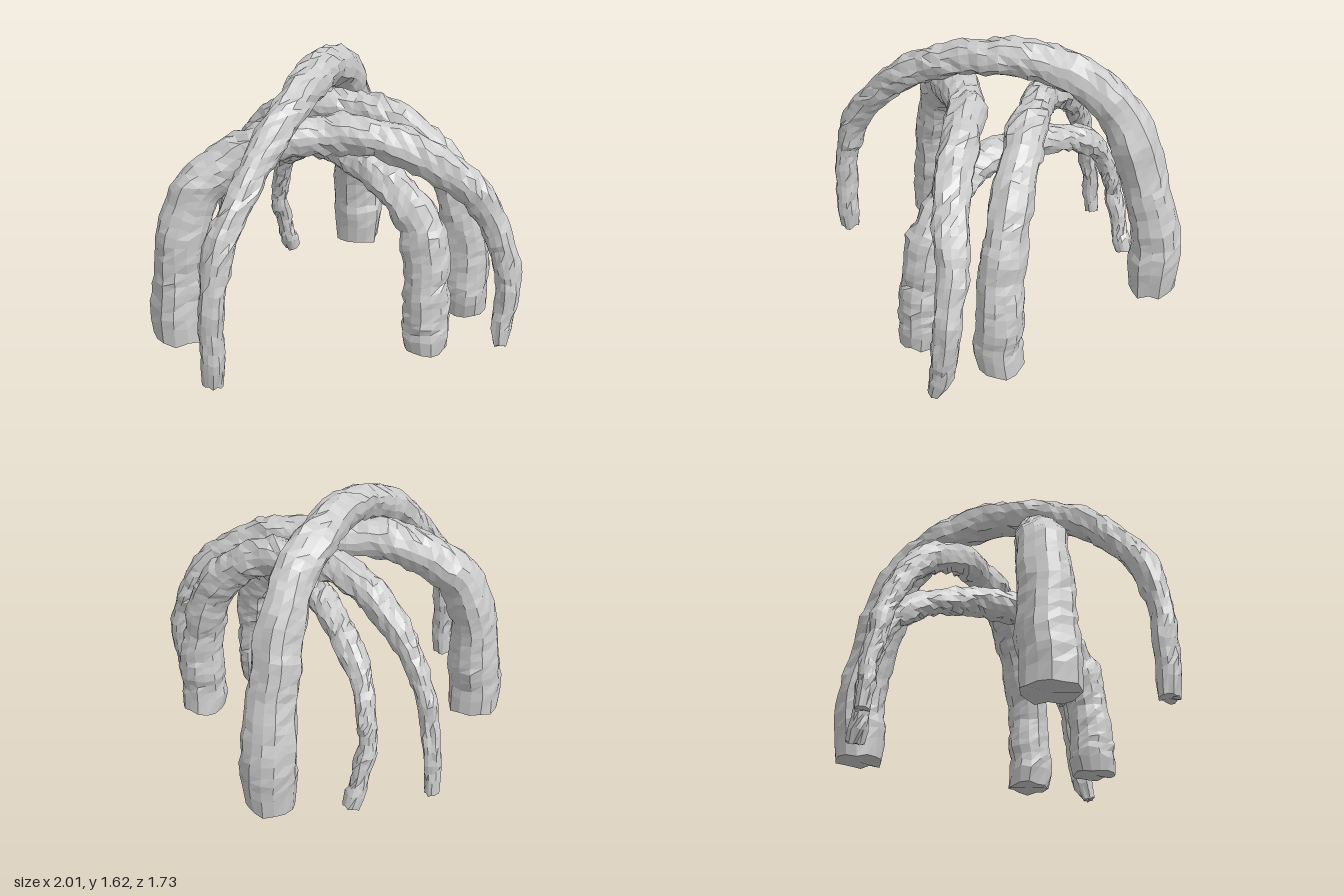
import * as THREE from 'three';

const SIDES = 14;
const SEGMENTS = 72;

// Repeatable value in -1..1 for a grid cell
function hash(a, b, seed) {
  const s = Math.sin(a * 127.1 + b * 311.7 + seed * 74.7) * 43758.5453;
  return (s - Math.floor(s)) * 2 - 1;
}

// The same, blended smoothly along a
function noise(a, b, seed) {
  const cell = Math.floor(a);
  return THREE.MathUtils.lerp(hash(cell, b, seed), hash(cell + 1, b, seed), THREE.MathUtils.smoothstep(a - cell, 0, 1));
}

// Each arch: points [x, y, z, radius] from the thick foot to the thin tip
const arches = {
  tallRoot: [
    [0.62, 0.09, -0.71, 0.155], [0.61, 0.45, -0.71, 0.15], [0.57, 0.8, -0.65, 0.14],
    [0.48, 1.17, -0.55, 0.13], [0.38, 1.36, -0.43, 0.125], [0.24, 1.47, -0.27, 0.12],
    [0.08, 1.52, -0.05, 0.11], [-0.15, 1.46, 0.21, 0.1], [-0.38, 1.34, 0.42, 0.095],
    [-0.57, 1.13, 0.55, 0.085], [-0.74, 0.86, 0.65, 0.08], [-0.81, 0.55, 0.7, 0.07],
    [-0.82, 0.3, 0.71, 0.07], [-0.82, 0.08, 0.7, 0.06],
  ],
  wideRoot: [
    [-0.83, 0.06, 0.06, 0.165], [-0.83, 0.4, 0.06, 0.16], [-0.8, 0.74, 0.07, 0.15],
    [-0.7, 0.97, 0.09, 0.14], [-0.52, 1.12, 0.12, 0.13], [-0.28, 1.22, 0.16, 0.12],
    [0.0, 1.24, 0.22, 0.11], [0.25, 1.23, 0.35, 0.105], [0.47, 1.16, 0.49, 0.105],
    [0.69, 1.0, 0.61, 0.1], [0.82, 0.82, 0.67, 0.085], [0.91, 0.58, 0.73, 0.075],
    [0.93, 0.34, 0.76, 0.07], [0.89, 0.15, 0.78, 0.065], [0.87, 0.02, 0.81, 0.045],
  ],
  innerRoot: [
    [0.44, 0.06, 0.71, 0.135], [0.44, 0.4, 0.7, 0.13], [0.44, 0.7, 0.64, 0.13],
    [0.37, 0.91, 0.5, 0.115], [0.28, 1.01, 0.3, 0.105], [0.22, 1.03, 0.04, 0.09],
    [0.15, 1.0, -0.24, 0.085], [0.11, 0.92, -0.46, 0.08], [0.07, 0.75, -0.65, 0.065],
    [0.06, 0.5, -0.74, 0.055], [0.1, 0.25, -0.77, 0.05], [0.16, 0.05, -0.79, 0.05],
  ],
  slenderRoot: [
    [0.84, 0.08, 0.41, 0.135], [0.84, 0.4, 0.41, 0.13], [0.8, 0.75, 0.37, 0.125],
    [0.68, 1.05, 0.26, 0.115], [0.5, 1.22, 0.1, 0.11], [0.31, 1.26, -0.05, 0.1],
    [0.13, 1.26, -0.2, 0.095], [-0.01, 1.2, -0.36, 0.09], [-0.13, 1.05, -0.52, 0.08],
    [-0.24, 0.8, -0.67, 0.06], [-0.29, 0.5, -0.76, 0.05], [-0.3, 0.25, -0.8, 0.05],
    [-0.3, 0.08, -0.82, 0.045],
  ],
};

// Tapered, closed tube with bark-like ridges and lumps
function rootGeometry(points, seed) {
  const curve = new THREE.CatmullRomCurve3(points.map(p => new THREE.Vector3(p[0], p[1], p[2])));
  const geometry = new THREE.TubeGeometry(curve, SEGMENTS, 1, SIDES);
  const pos = geometry.attributes.position;
  const normal = new THREE.Vector3();
  const centre = new THREE.Vector3();

  for (let ring = 0; ring <= SEGMENTS; ring++) {
    // The rings next to the ends move onto the end planes; the end rings shrink to cap centres
    const capCentre = ring === 0 || ring === SEGMENTS;
    const capEdge = ring === 1 || ring === SEGMENTS - 1;
    const k = ring === 1 ? 0 : ring === SEGMENTS - 1 ? SEGMENTS : ring;
    const u = k / SEGMENTS;
    curve.getPointAt(u, centre);

    // Slightly crooked path
    centre.x += 0.01 * noise(k / 3, 50, seed);
    centre.y += 0.008 * noise(k / 3, 51, seed);
    centre.z += 0.01 * noise(k / 3, 52, seed);

    // Radius between the two nearest path points, a little less at the worn rims
    const t = curve.getUtoTmapping(u) * (points.length - 1);
    const n = Math.min(Math.floor(t), points.length - 2);
    const radius = THREE.MathUtils.lerp(points[n][3], points[n + 1][3], t - n) * (capEdge ? 0.92 : 1);
    const lump = 0.007 * noise(k / 2, 99, seed);

    for (let i = 0; i <= SIDES; i++) {
      const side = i % SIDES;
      const index = ring * (SIDES + 1) + i;
      normal.fromBufferAttribute(geometry.attributes.normal, index);
      // Long ridges run along the root, fine bumps change at each ring
      const ridge = 0.08 * radius * noise(k / 6 + side * 0.37, side, seed);
      const bump = 0.007 * hash(ring, side, seed + 5);
      const r = capCentre ? 0 : radius + lump + ridge + bump;
      const lift = capCentre ? 0 : 0.012 * hash(ring, side, seed + 9);
      pos.setXYZ(index, centre.x + normal.x * r, centre.y + normal.y * r + lift, centre.z + normal.z * r);
    }
  }
  geometry.computeVertexNormals();
  return geometry;
}

export function createModel() {
  const group = new THREE.Group();
  group.name = 'archedRoots';
  const material = new THREE.MeshStandardMaterial({ color: 0xcccccc, flatShading: true });

  Object.entries(arches).forEach(([name, points], i) => {
    const mesh = new THREE.Mesh(rootGeometry(points, i + 1), material);
    mesh.name = name;
    group.add(mesh);
  });
  return group;
}
